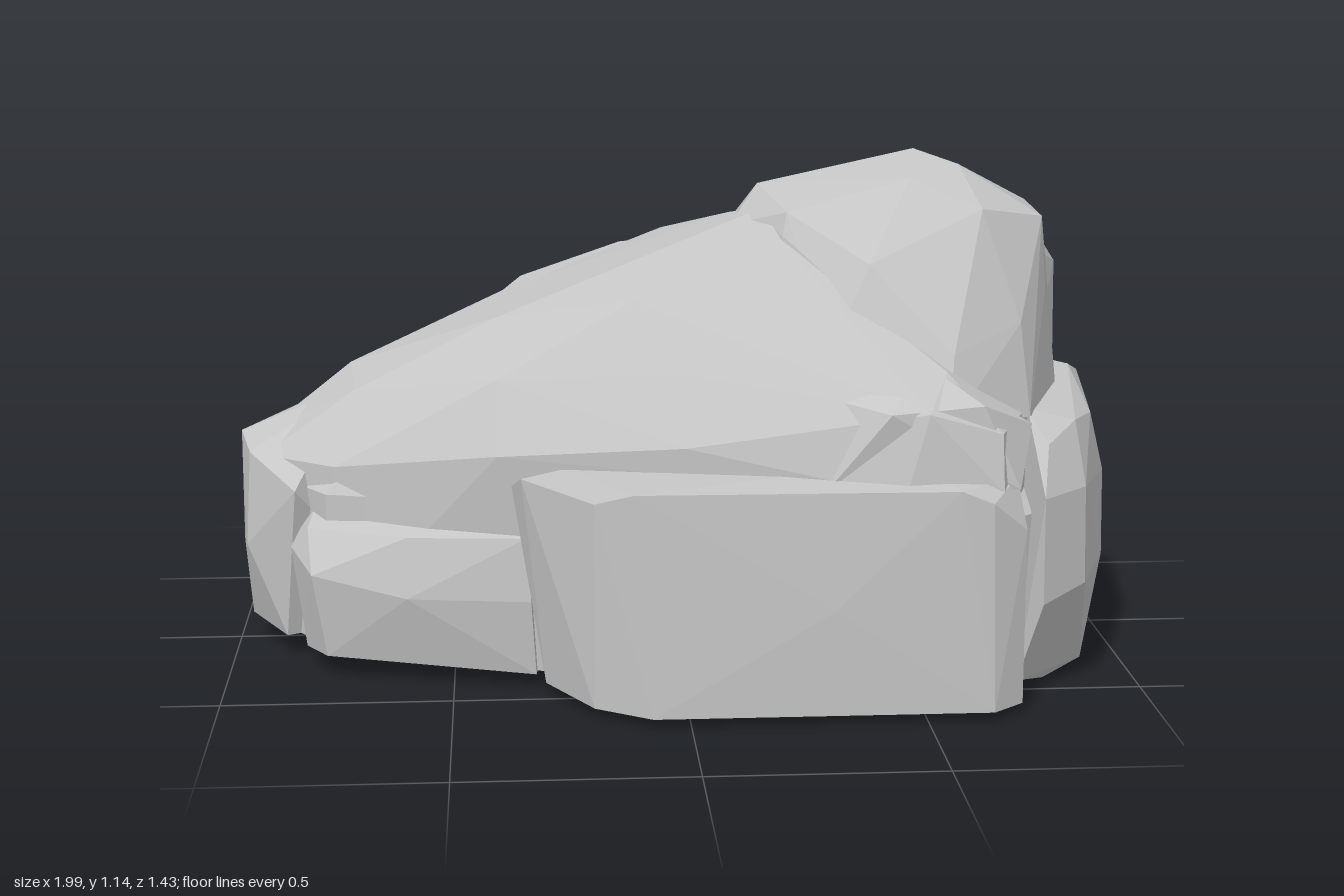
import * as THREE from 'three';
import { ConvexGeometry } from 'three/addons/geometries/ConvexGeometry.js';

const stone = new THREE.MeshStandardMaterial({ color: 0xc6c6c6 });
stone.name = 'grey stone';

// Triangles of a hull geometry
function trianglesOf(geometry) {
  const p = geometry.attributes.position;
  const list = [];
  for (let i = 0; i < p.count; i += 3) {
    list.push(new THREE.Triangle(...[0, 1, 2].map((k) => new THREE.Vector3().fromBufferAttribute(p, i + k))));
  }
  return list;
}

export function createModel() {
  const group = new THREE.Group();
  group.name = 'boulder';
  const rocks = [];

  // One faceted chunk: the hull of [x, y, z] corners; hull faces keep flat normals
  const chunk = (name, corners) => {
    const triangles = trianglesOf(new ConvexGeometry(corners.map((c) => new THREE.Vector3(...c))));
    const planes = triangles.filter((t) => t.getArea() > 1e-7).map((t) => t.getPlane(new THREE.Plane()));
    rocks.push({ name, triangles, planes });
  };

  // Solid core joining the foot of every rock
  const footprint = [
    [-0.88, 0.1], [-0.78, 0.25], [0.62, 0.64], [0.76, 0.5], [0.86, 0.35],
    [0.88, 0], [0.78, -0.29], [0.5, -0.4], [0.1, -0.51], [-0.5, -0.52], [-0.78, -0.31], [-0.88, -0.12],
  ];
  chunk('core', footprint.flatMap(([x, z]) => [[x, 0.05, z], [x, 0.4, z], [x * 0.93, 0.46, z * 0.93]]));

  // Long sloping body
  chunk('slopingBody', [
    [-0.9, 0.05, 0], [-0.8, 0.05, 0.22], [-0.3, 0.03, 0.4], [0.6, 0.02, 0.52], [0.8, 0.02, 0.3],
    [0.82, 0.03, -0.2], [0.3, 0.03, -0.38], [-0.4, 0.05, -0.45], [-0.8, 0.05, -0.22],
    [-0.96, 0.46, -0.06], [-0.93, 0.45, 0.07], [-0.74, 0.62, -0.15], [-0.72, 0.6, 0.08],
    [-0.76, 0.46, 0.24], [-0.65, 0.58, -0.3], [-0.4, 0.77, 0.12], [-0.37, 0.77, -0.28],
    [-0.4, 0.52, 0.42], [-0.4, 0.67, 0.33], [-0.35, 0.68, -0.4], [0, 0.9, -0.36],
    [0.14, 0.98, -0.05], [0.2, 1.01, 0.1], [0.22, 0.97, 0.31], [-0.1, 0.84, 0.32],
    [0.12, 0.85, -0.4], [0, 0.56, 0.54], [0, 0.7, 0.45], [0.5, 0.65, 0.65], [0.45, 0.48, 0.67],
    [0.3, 0.73, 0.51], [0.55, 0.72, 0.55], [0.66, 0.6, 0.62], [0.66, 0.48, 0.65], [0.8, 0.62, 0.3],
    [0.82, 0.6, -0.2], [0.68, 0.62, -0.3], [0.3, 0.62, -0.41],
  ]);

  // Peak, and the saddle behind it
  chunk('peak', [
    [0.12, 0.5, 0.45], [0.55, 0.6, 0.58], [0.75, 0.6, 0.45], [0.86, 0.58, 0.2], [0.84, 0.6, -0.1],
    [0.3, 0.6, -0.3], [0.3, 0.72, 0.48], [0.57, 0.75, 0.52], [0.73, 0.8, 0.42], [0.81, 0.85, 0.28],
    [0.82, 0.92, 0.02], [0.8, 1.02, 0.07], [0.8, 1.01, 0.27], [0.65, 1.04, 0.37], [0.5, 1.1, 0.31],
    [0.54, 1.14, 0.09], [0.62, 1.12, 0.22], [0.2, 1.05, -0.02], [0.3, 1.06, -0.09],
    [0.13, 0.97, 0.08], [0.24, 1.02, 0.25], [0.4, 0.93, 0.42], [0.5, 1.0, -0.1], [0.13, 0.9, -0.25],
  ]);
  chunk('saddle', [
    [0.3, 1.0, -0.12], [0.13, 0.9, -0.3], [0.2, 0.74, -0.42], [0.5, 0.67, -0.36], [0.72, 0.7, -0.26],
    [0.7, 0.88, -0.08], [0.3, 0.5, -0.3], [0.6, 0.5, 0],
  ]);

  // Broad slab across the front
  chunk('frontSlab', [
    [-0.3, 0.03, 0.48], [-0.2, 0.02, 0.63], [-0.08, 0.02, 0.71], [0.64, 0.02, 0.71], [0.71, 0.02, 0.65],
    [-0.37, 0.46, 0.44], [-0.35, 0.49, 0.5], [-0.2, 0.47, 0.65], [-0.12, 0.5, 0.7], [0.56, 0.5, 0.71],
    [0.63, 0.47, 0.7], [0.71, 0.4, 0.65], [0.7, 0.5, 0.58], [-0.25, 0.5, 0.45], [0.5, 0.52, 0.5],
    [0.3, 0.25, 0.715], [0.6, 0.03, 0.4], [-0.3, 0.03, 0.35],
  ]);

  // Rounded boulder on the left side
  chunk('leftSideBoulder', [
    [0.72, 0.03, 0.53], [0.8, 0, 0.42], [0.9, 0.02, 0.34], [0.93, 0.03, -0.08], [0.7, 0.03, -0.12],
    [0.76, 0.22, 0.6], [0.87, 0.24, 0.5], [0.95, 0.25, 0.3], [0.96, 0.22, 0], [0.97, 0.3, -0.11],
    [0.76, 0.45, 0.59], [0.87, 0.45, 0.48], [0.97, 0.42, 0.2], [1.0, 0.5, -0.11], [0.97, 0.59, -0.1],
    [0.78, 0.55, 0.51], [0.86, 0.58, 0.4], [0.91, 0.64, 0.08], [0.75, 0.61, 0.42], [0.8, 0.67, 0.1],
    [0.75, 0.6, -0.12], [0.92, 0.57, 0.28],
  ]);

  // Shoulder blocks under the peak
  chunk('highShoulder', [
    [0.7, 0.55, 0], [0.84, 0.6, 0], [0.92, 0.62, -0.14], [0.8, 0.55, -0.29], [0.58, 0.55, -0.32],
    [0.79, 0.93, 0.06], [0.86, 0.92, -0.06], [0.91, 0.85, -0.11], [0.89, 0.78, -0.17],
    [0.81, 0.92, -0.21], [0.7, 0.91, -0.25], [0.6, 0.84, -0.27], [0.66, 0.92, -0.1],
  ]);
  chunk('backShoulder', [
    [0.93, 0.03, -0.08], [0.84, 0.03, -0.28], [0.7, 0.03, -0.36], [0.4, 0.03, -0.43], [0.28, 0.03, -0.42],
    [0.4, 0.05, -0.1], [0.98, 0.5, -0.13], [0.87, 0.5, -0.29], [0.74, 0.48, -0.36], [0.58, 0.45, -0.43],
    [0.38, 0.5, -0.46], [0.28, 0.52, -0.46], [0.92, 0.6, -0.15], [0.8, 0.58, -0.29],
    [0.6, 0.6, -0.36], [0.3, 0.62, -0.41], [0.4, 0.66, -0.2],
  ]);

  // Rear column with a block resting on its ledge
  chunk('rearColumn', [
    [-0.42, 0.06, -0.5], [-0.35, 0.07, -0.62], [-0.2, 0.07, -0.7], [0.02, 0.07, -0.68], [0.19, 0.06, -0.6],
    [0.23, 0.04, -0.42], [-0.42, 0.05, -0.3], [-0.44, 0.45, -0.52], [-0.36, 0.5, -0.63],
    [-0.22, 0.35, -0.715], [0, 0.4, -0.7], [0.2, 0.45, -0.63], [0.27, 0.5, -0.47],
    [-0.38, 0.58, -0.5], [-0.2, 0.58, -0.68], [0, 0.59, -0.66], [0.17, 0.59, -0.6],
    [0.22, 0.6, -0.4], [-0.35, 0.6, -0.3],
  ]);
  chunk('ledgeBlock', [
    [-0.37, 0.55, -0.5], [-0.3, 0.55, -0.63], [-0.18, 0.55, -0.67], [0.12, 0.55, -0.6], [0.17, 0.55, -0.42],
    [-0.36, 0.68, -0.52], [-0.2, 0.75, -0.65], [0, 0.76, -0.63], [0.13, 0.74, -0.56],
    [0.16, 0.76, -0.4], [-0.33, 0.74, -0.4], [-0.35, 0.6, -0.3],
  ]);

  // Lower rocks around the right end
  chunk('rearRightRock', [
    [-0.36, 0.05, -0.58], [-0.55, 0.06, -0.56], [-0.68, 0.06, -0.45], [-0.78, 0.05, -0.3], [-0.36, 0.05, -0.2],
    [-0.36, 0.4, -0.64], [-0.56, 0.35, -0.62], [-0.7, 0.38, -0.5], [-0.79, 0.4, -0.35],
    [-0.36, 0.5, -0.61], [-0.54, 0.51, -0.57], [-0.69, 0.52, -0.42], [-0.6, 0.58, -0.3], [-0.38, 0.62, -0.42],
  ]);
  chunk('endRock', [
    [-0.97, 0.06, 0], [-0.9, 0.06, -0.2], [-0.78, 0.05, -0.33], [-0.88, 0.05, 0.16], [-0.6, 0.05, 0],
    [-0.99, 0.22, -0.05], [-0.97, 0.25, 0.1], [-0.93, 0.25, -0.22], [-0.84, 0.25, -0.36], [-0.72, 0.3, -0.38],
    [-0.96, 0.36, 0], [-0.99, 0.48, -0.06], [-0.96, 0.46, 0.08], [-0.93, 0.46, -0.2], [-0.83, 0.46, -0.34],
    [-0.91, 0.51, -0.08], [-0.78, 0.54, -0.26], [-0.74, 0.58, -0.05], [-0.85, 0.4, 0.22],
  ]);
  chunk('frontRightRock', [
    [-0.83, 0.05, 0.24], [-0.78, 0.05, 0.32], [-0.32, 0.03, 0.42], [-0.3, 0.03, 0.2], [-0.8, 0.05, 0.1],
    [-0.86, 0.28, 0.24], [-0.81, 0.24, 0.34], [-0.6, 0.2, 0.4], [-0.33, 0.2, 0.44],
    [-0.82, 0.33, 0.27], [-0.6, 0.33, 0.37], [-0.34, 0.34, 0.43], [-0.35, 0.38, 0.3], [-0.8, 0.38, 0.1],
  ]);

  // Small steps breaking up the slope
  chunk('backStep', [
    [-0.7, 0.5, -0.34], [-0.5, 0.64, -0.43], [-0.36, 0.7, -0.42], [-0.34, 0.79, -0.33],
    [-0.1, 0.86, -0.4], [0.1, 0.86, -0.4], [0.13, 0.9, -0.3], [-0.3, 0.8, -0.2], [0.1, 0.5, -0.4], [-0.6, 0.5, -0.1],
  ]);
  chunk('frontLedge', [
    [0.16, 0.69, 0.46], [0.3, 0.75, 0.46], [0.5, 0.74, 0.53], [0.62, 0.66, 0.62], [0.42, 0.65, 0.65],
    [0.74, 0.6, 0.52], [0.3, 0.5, 0.63], [0.7, 0.48, 0.62], [0.5, 0.5, 0.3],
  ]);

  // Keep only triangles that are not buried inside a neighbouring chunk
  for (const rock of rocks) {
    const buried = (t) => rocks.some((other) => other !== rock &&
      other.planes.every((plane) => [t.a, t.b, t.c].every((v) => plane.distanceToPoint(v) < -1e-4)));
    const corners = rock.triangles.filter((t) => !buried(t)).flatMap((t) => [t.a, t.b, t.c]);
    const geometry = new THREE.BufferGeometry().setFromPoints(corners);
    geometry.computeVertexNormals();
    const mesh = new THREE.Mesh(geometry, stone);
    mesh.name = rock.name;
    group.add(mesh);
  }
  return group;
}
